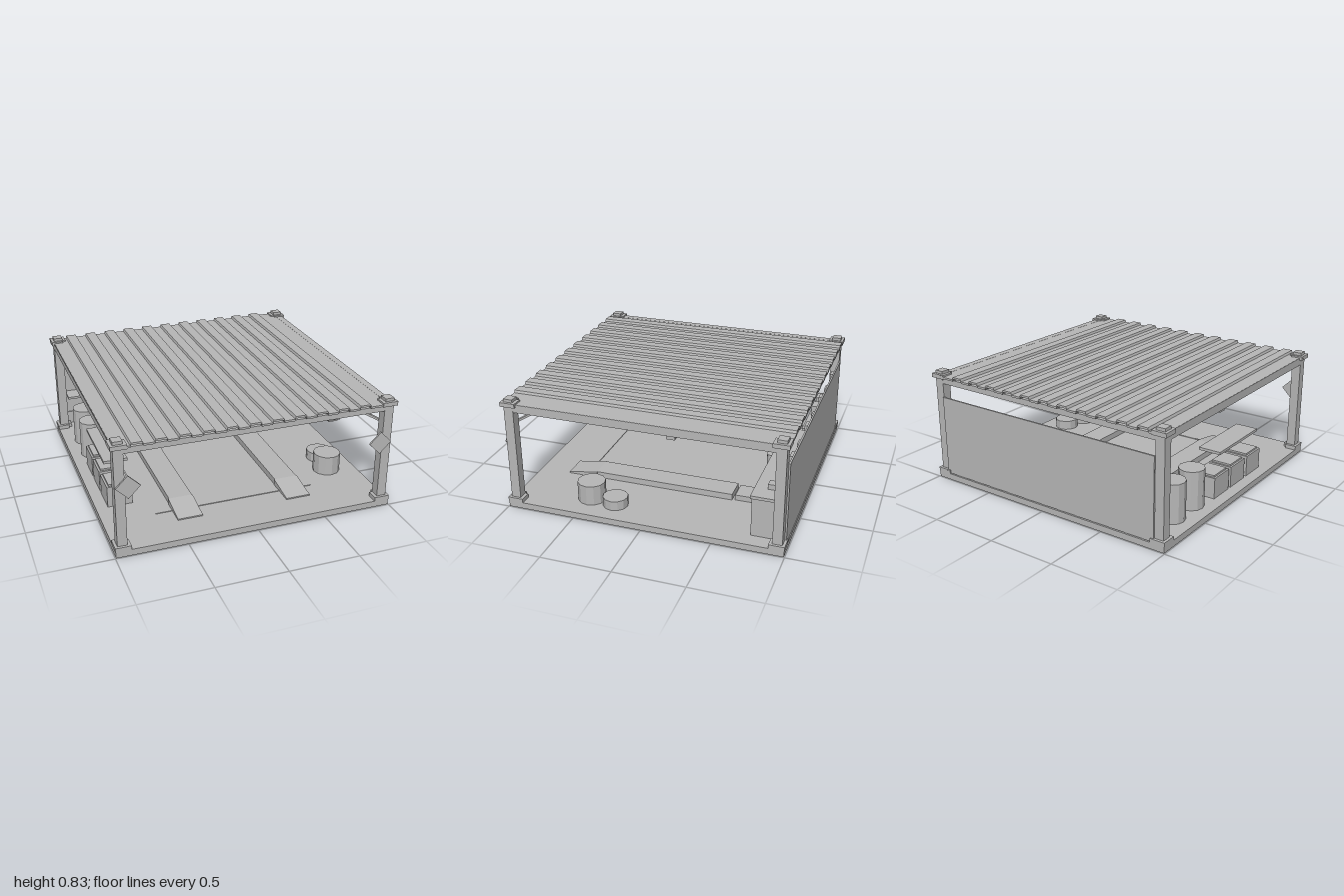
import * as THREE from 'three';

export function createModel() {
  const root = new THREE.Group();
  root.name = 'garage';
  const grey = new THREE.MeshStandardMaterial({ color: 0xb8b8b8, flatShading: true });
  grey.name = 'plain grey';

  const add = (name, geo, x = 0, y = 0, z = 0) => {
    const m = new THREE.Mesh(geo, grey);
    m.name = name;
    m.position.set(x, y, z);
    root.add(m);
    return m;
  };
  // box given by its limits
  const box = (name, x0, x1, y0, y1, z0, z1) =>
    add(name, new THREE.BoxGeometry(x1 - x0, y1 - y0, z1 - z0), (x0 + x1) / 2, (y0 + y1) / 2, (z0 + z1) / 2);
  const drum = (name, x, z, r, y0, y1, sides = 12) =>
    add(name, new THREE.CylinderGeometry(r, r, y1 - y0, sides), x, (y0 + y1) / 2, z);
  // straight square bar between two points
  const bar = (name, a, b, t) => {
    const p = new THREE.Vector3(...a), q = new THREE.Vector3(...b);
    const m = add(name, new THREE.BoxGeometry(t, t, p.distanceTo(q)));
    m.position.copy(p).add(q).multiplyScalar(0.5);
    m.lookAt(q);
  };

  const F = 0.045; // floor level
  box('floor', -0.995, 0.995, 0, F, -0.995, 0.995);

  // corner posts with angled foot and head brackets and caps
  for (const sx of [-1, 1]) for (const sz of [-1, 1]) {
    const at = (name, w, h, d, x, y, z) =>
      add(name, new THREE.BoxGeometry(w, h, d), sx * x, y, sz * z);
    at('post', 0.068, 0.74, 0.068, 0.945, 0.415, 0.945);
    for (const y of [0.06, 0.794]) {
      at('bracket', 0.11, 0.03, 0.085, 0.943, y, 0.955);
      at('bracket', 0.085, 0.03, 0.11, 0.955, y, 0.943);
    }
    at('postCap', 0.066, 0.028, 0.066, 0.945, 0.816, 0.945);
  }

  // roof frame
  for (const s of [-1, 1]) {
    add('sideBeam', new THREE.BoxGeometry(0.05, 0.06, 1.9), s * 0.953, 0.768, 0);
    add('endBeam', new THREE.BoxGeometry(1.9, 0.042, 0.05), 0, 0.761, s * 0.953);
  }
  for (const z of [-0.6, 0.2, 0.6]) box('rafter', -0.93, 0.93, 0.745, 0.785, z - 0.025, z + 0.025);
  box('craneBeam', -0.93, 0.93, 0.69, 0.745, -0.23, -0.17);

  // ribbed roof sheet, extruded from a stepped profile
  const top = [[-0.98, 0.797]];
  for (let i = 0; i < 11; i++) {
    const x = -0.869 + i * 0.158;
    top.push([x, 0.797], [x + 0.006, 0.815], [x + 0.079, 0.815], [x + 0.085, 0.797]);
  }
  top.push([0.98, 0.797]);
  const profile = [...top, ...top.map(([x, y]) => [x, y - 0.014]).reverse()];
  const sheet = new THREE.Shape(profile.map(([x, y]) => new THREE.Vector2(x, y)));
  add('roofSheet', new THREE.ExtrudeGeometry(sheet, { depth: 1.99, bevelEnabled: false }), 0, 0, -0.995);

  // back wall with skirting
  box('backWall', -0.91, 0.91, 0.05, 0.64, -0.99, -0.978);
  box('skirting', -0.91, 0.91, 0.075, 0.155, -0.978, -0.97);

  // tools hung on the wall: x, top of head, bottom of handle
  for (const [x, y1, y0] of [[-0.745, 0.6, 0.35], [-0.51, 0.575, 0.42], [-0.275, 0.6, 0.345],
    [-0.005, 0.575, 0.355], [0.23, 0.6, 0.345], [0.465, 0.575, 0.355], [0.7, 0.6, 0.355]]) {
    box('toolHead', x - 0.037, x + 0.037, y1 - 0.04, y1, -0.978, -0.945);
    box('toolHandle', x - 0.012, x + 0.012, y0, y1 - 0.04, -0.975, -0.95);
  }

  // workbench with a vice
  box('workbench', 0.27, 0.88, F, 0.33, -0.96, -0.74);
  box('benchTop', 0.25, 0.89, 0.328, 0.35, -0.97, -0.73);
  box('vice', 0.71, 0.77, 0.35, 0.387, -0.88, -0.82);

  // back shelf with boxes
  box('backShelf', -0.91, -0.21, 0.325, 0.342, -0.978, -0.84);
  for (const x of [-0.68, -0.51]) box('shelfBox', x - 0.05, x + 0.05, 0.342, 0.42, -0.95, -0.86);

  // side shelf and crates with lids
  box('sideShelf', -0.91, -0.74, 0.355, 0.375, -0.17, 0.375);
  for (const z of [0.335, 0.1, -0.13]) {
    box('crate', -0.91, -0.73, F, 0.2, z - 0.1, z + 0.1);
    box('crateLid', -0.895, -0.745, 0.2, 0.213, z - 0.085, z + 0.085);
  }

  // barrels and tyres
  drum('barrel', -0.825, -0.4, 0.092, F, 0.33);
  drum('barrel', -0.825, -0.64, 0.092, F, 0.33);
  drum('drum', 0.775, 0.45, 0.1, F, 0.19);
  drum('lowDrum', 0.8, 0.26, 0.09, F, 0.115);

  // gas cylinder on its trolley
  drum('gasCylinder', -0.004, -0.67, 0.04, F, 0.205);
  box('trolley', -0.085, 0.08, F, 0.14, -0.74, -0.712);

  // vehicle ramps: raised runway, sloped entry and end stop
  const slope = new THREE.Shape([[0.54, F], [0.765, F], [0.765, 0.054], [0.54, 0.09]]
    .map(([z, y]) => new THREE.Vector2(-z, y)).reverse());
  for (const x of [-0.41, 0.4]) {
    box('runway', x - 0.085, x + 0.085, F, 0.09, -0.5, 0.54);
    const ramp = add('entryRamp', new THREE.ExtrudeGeometry(slope, { depth: 0.18, bevelEnabled: false }), x - 0.09);
    ramp.rotation.y = Math.PI / 2;
    box('endStop', x - 0.075, x + 0.075, F, 0.085, -0.65, -0.52);
  }
  box('floorStrip', -0.62, 0.56, F, 0.05, 0.625, 0.637);

  // hoist under the crane beam
  box('hoist', 0.2, 0.33, 0.64, 0.715, -0.27, -0.13);
  box('hoistHook', 0.26, 0.275, 0.535, 0.64, -0.21, -0.193);

  // jointed work lamp on the front post
  const joints = [[0.91, 0.65, 0.915], [0.8, 0.697, 0.81], [0.64, 0.68, 0.745]];
  bar('lampArm', joints[0], joints[1], 0.016);
  bar('lampArm', joints[1], joints[2], 0.016);
  box('lampHead', 0.59, 0.685, 0.625, 0.677, 0.712, 0.778);
  box('lampLens', 0.605, 0.67, 0.612, 0.625, 0.722, 0.768);

  // diamond signs on the front posts
  for (const s of [-1, 1]) {
    const sign = add('diamondSign', new THREE.BoxGeometry(0.117, 0.117, 0.012), s * 0.893, 0.507, 0.986);
    sign.rotation.z = Math.PI / 4;
  }
  return root;
}
